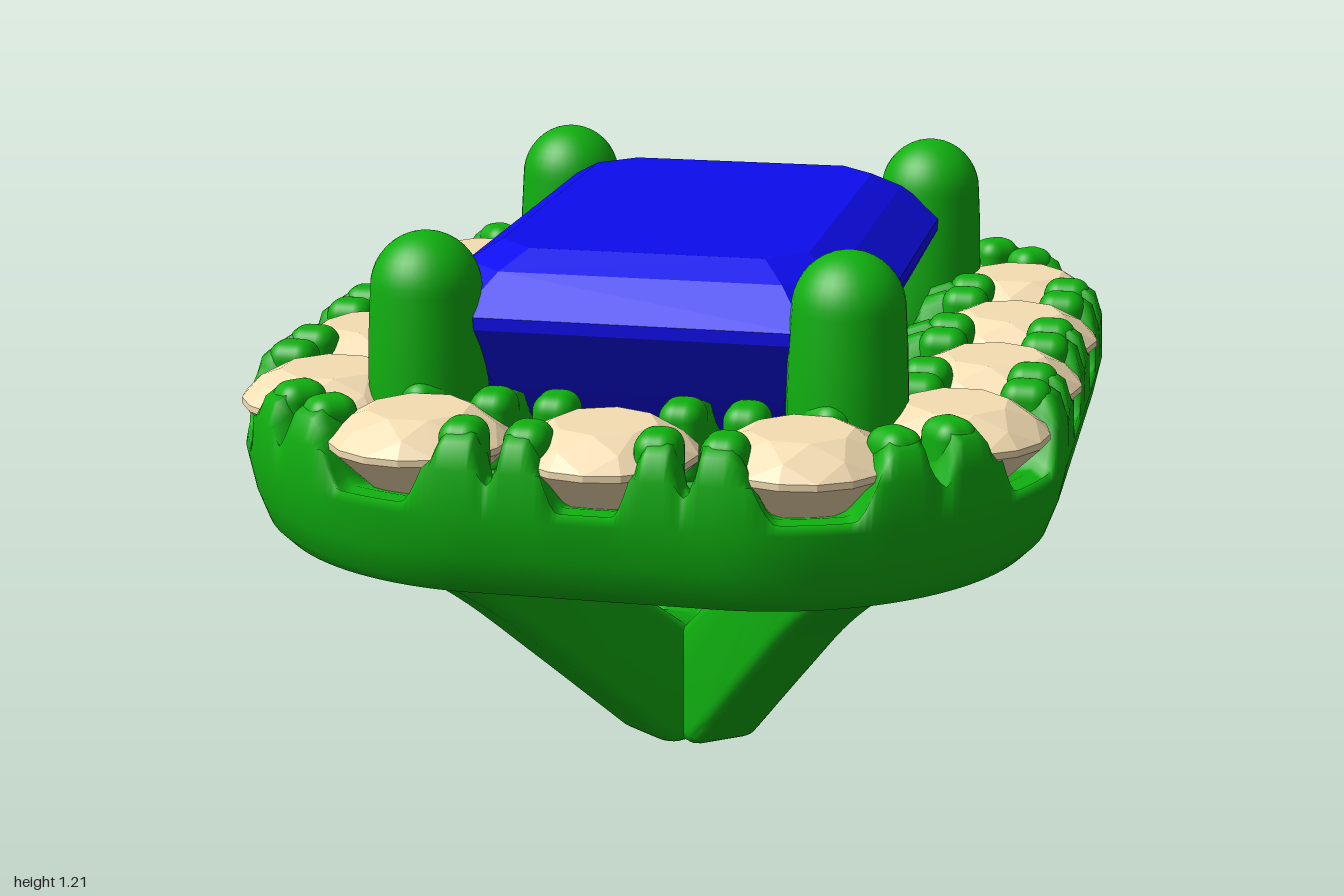
import * as THREE from 'three';
import { toCreasedNormals } from 'three/addons/utils/BufferGeometryUtils.js';
import { RoundedBoxGeometry } from 'three/addons/geometries/RoundedBoxGeometry.js';
import { ConvexGeometry } from 'three/addons/geometries/ConvexGeometry.js';

const HX = 0.23, HZ = 0.4, R = 0.425;              // halo centreline: straight halves, corner radius
const QUARTER = HX + R * Math.PI / 2 + HZ;
const COUNT = 14, PITCH = 4 * QUARTER / COUNT;     // small stones evenly spaced
const MID = 0.175;                                 // centreline inset from the outer edge

// Point and outward normal on the halo centreline at arc length s
function haloPoint(s) {
  s = ((s % (4 * QUARTER)) + 4 * QUARTER) % (4 * QUARTER);
  const q = Math.min(3, Math.floor(s / QUARTER));
  let t = s - q * QUARTER;
  if (q % 2) t = QUARTER - t;
  let x, z, a;
  if (t < HX) { a = 0; x = t; z = HZ + R; }
  else {
    a = Math.min((t - HX) / R, Math.PI / 2);
    x = HX + R * Math.sin(a);
    z = a < Math.PI / 2 ? HZ + R * Math.cos(a) : QUARTER - t;
  }
  const sx = q < 2 ? 1 : -1, sz = q === 0 || q === 3 ? 1 : -1;
  return { x: x * sx, z: z * sz, nx: Math.sin(a) * sx, nz: Math.cos(a) * sz };
}

// Rim height: low at each stone, high between, with a narrow notch in each gap
function rimHeight(s) {
  const m = (s + PITCH / 2) % PITCH;
  const w = Math.abs(m - PITCH / 2), gap = PITCH / 2 - w;
  const rise = 0.79 + 0.135 * THREE.MathUtils.smoothstep(w, 0.05, 0.115);
  return rise - 0.09 * (1 - THREE.MathUtils.smoothstep(gap, 0.004, 0.03));
}

// Halo frame lofted around the centreline
function haloGeometry() {
  const n = COUNT * 40, pos = [], idx = [];
  let rows = 0;
  for (let i = 0; i < n; i++) {
    const s = i / n * 4 * QUARTER, p = haloPoint(s), h = rimHeight(s);
    const section = [
      [0.41, 0.65], [0.395, 0.61], [0.36, 0.6], [0.1, 0.6], [0.065, 0.605], [0.04, 0.63], [0.018, 0.69],
      [0.002, 0.77], [0.006, Math.min(0.86, h)], [0.022, h - 0.015], [0.045, h], [0.085, h - 0.01], [0.1, 0.79],
      [0.28, 0.79], [0.3, h - 0.01], [0.345, h], [0.385, h - 0.015], [0.405, Math.min(0.86, h)], [0.41, 0.77],
    ];
    rows = section.length;
    for (const [inset, y] of section) {
      const d = MID - inset;
      pos.push(p.x + p.nx * d, y, p.z + p.nz * d);
    }
  }
  for (let i = 0; i < n; i++) for (let j = 0; j < rows; j++) {
    const i2 = (i + 1) % n, j2 = (j + 1) % rows;
    const a = i * rows + j, b = i2 * rows + j, c = i2 * rows + j2, d = i * rows + j2;
    idx.push(a, b, c, a, c, d);
  }
  const g = new THREE.BufferGeometry();
  g.setAttribute('position', new THREE.Float32BufferAttribute(pos, 3));
  g.setIndex(idx);
  g.computeVertexNormals();
  return g;
}

// Round faceted stone
function roundStoneGeometry() {
  const pts = [new THREE.Vector3(0, 0.68, 0)];
  const ring = (r, y, n, turn) => {
    for (let i = 0; i < n; i++) {
      const a = (i + turn) / n * Math.PI * 2;
      pts.push(new THREE.Vector3(r * Math.sin(a), y, r * Math.cos(a)));
    }
  };
  ring(0.1, 0.923, 8, 0);
  ring(0.148, 0.897, 8, 0.5);
  ring(0.178, 0.868, 16, 0);
  ring(0.178, 0.855, 16, 0);
  return new ConvexGeometry(pts);
}

// Step-cut rectangular stone with clipped corners
function centreStoneGeometry() {
  const pts = [new THREE.Vector3(0, 0.58, 0.18), new THREE.Vector3(0, 0.58, -0.18)];
  const levels = [
    [0.31, 0.475, 1.165], [0.37, 0.54, 1.13], [0.45, 0.62, 1.055],
    [0.45, 0.62, 1.03], [0.38, 0.55, 0.9], [0.27, 0.44, 0.78],
  ];
  for (const [x, z, y] of levels) {
    const c = x * 0.24;
    for (const sx of [-1, 1]) for (const sz of [-1, 1]) {
      pts.push(new THREE.Vector3(sx * (x - c), y, sz * z), new THREE.Vector3(sx * x, y, sz * (z - c)));
    }
  }
  return new ConvexGeometry(pts);
}

// Strut side profile (radial distance, height), extruded with rounded edges
function strutGeometry() {
  const v = (x, y) => new THREE.Vector2(x, y);
  const s = new THREE.Shape();
  s.moveTo(-0.05, 0);
  s.lineTo(0.09, 0);
  s.quadraticCurveTo(0.14, 0, 0.175, 0.035);
  s.splineThru([v(0.42, 0.255), v(0.61, 0.42), v(0.78, 0.535), v(0.95, 0.615)]);
  s.lineTo(0.92, 0.7);
  s.lineTo(0.62, 0.7);
  s.lineTo(0.52, 0.61);
  s.lineTo(0.25, 0.395);
  s.lineTo(0.08, 0.265);
  s.lineTo(-0.05, 0.25);
  const g = new THREE.ExtrudeGeometry(s, {
    depth: 0.1, bevelEnabled: true, bevelSize: 0.03, bevelOffset: -0.03,
    bevelThickness: 0.03, bevelSegments: 4, curveSegments: 6,
  });
  g.translate(0, 0, -0.05);
  return toCreasedNormals(g, 0.7);
}

// Tapered post with a domed tip
function prongGeometry() {
  const pts = [new THREE.Vector2(0, 0.61), new THREE.Vector2(0.118, 0.61), new THREE.Vector2(0.118, 0.92),
    new THREE.Vector2(0.115, 1.02)];
  for (let i = 0; i <= 10; i++) {
    const a = i / 10 * Math.PI / 2;
    pts.push(new THREE.Vector2(i === 10 ? 0 : 0.11 * Math.cos(a), 1.1 + 0.113 * Math.sin(a)));
  }
  return new THREE.LatheGeometry(pts, 32);
}

export function createModel() {
  const model = new THREE.Group();
  const metal = new THREE.MeshStandardMaterial({ color: 0x10b010 });
  const blue = new THREE.MeshStandardMaterial({ color: 0x0c0cee, flatShading: true });
  const pale = new THREE.MeshStandardMaterial({ color: 0xf5deb3, flatShading: true });
  const add = (name, geo, mat, x = 0, y = 0, z = 0, turn = 0) => {
    const m = new THREE.Mesh(geo, mat);
    m.name = name;
    m.position.set(x, y, z);
    m.rotation.y = turn;
    model.add(m);
  };

  add('haloFrame', haloGeometry(), metal);
  add('centreStone', centreStoneGeometry(), blue);

  // Corner prongs and the struts meeting at the base
  const prong = prongGeometry(), strut = strutGeometry();
  for (const sx of [-1, 1]) for (const sz of [-1, 1]) {
    add('cornerProng', prong, metal, sx * 0.417, 0, sz * 0.577);
    add('strut', strut, metal, 0, 0, 0, -Math.atan2(sz * 0.81, sx * 0.59));
  }

  // Halo stones, with four small claws in each gap
  const stone = roundStoneGeometry();
  const claw = new RoundedBoxGeometry(0.088, 0.17, 0.1, 4, 0.035);
  for (let i = 0; i < COUNT; i++) {
    const p = haloPoint(i * PITCH);
    add('haloStone', stone, pale, p.x, 0, p.z, Math.atan2(p.nx, p.nz));
    const g = haloPoint((i + 0.5) * PITCH), turn = Math.atan2(g.nx, g.nz);
    for (const side of [-0.062, 0.062]) for (const inset of [0.085, 0.295]) {
      const d = MID - inset;
      add('claw', claw, metal, g.x + g.nx * d + g.nz * side, 0.855, g.z + g.nz * d - g.nx * side, turn);
    }
  }
  return model;
}
